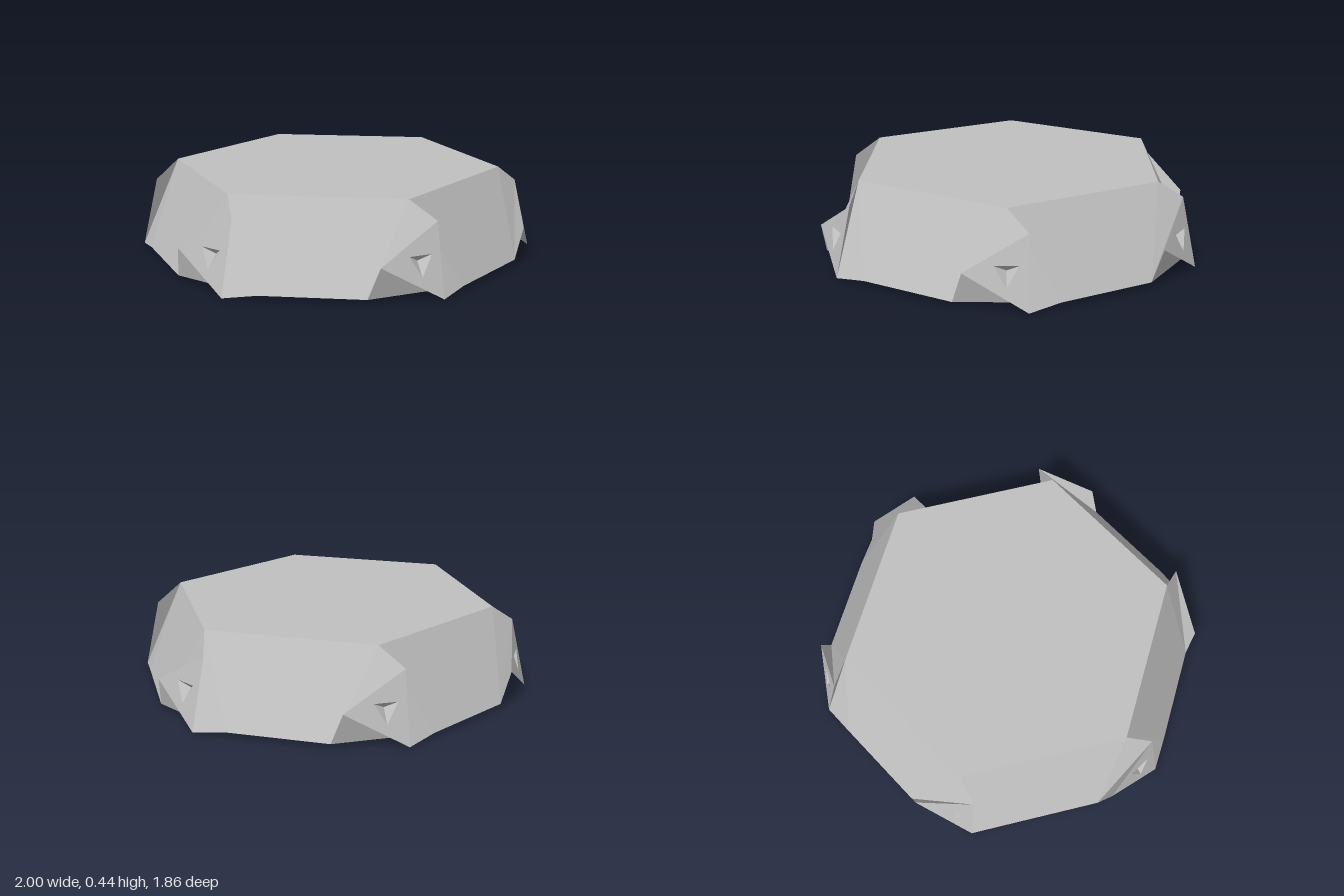
import * as THREE from 'three';
import { ConvexGeometry } from 'three/addons/geometries/ConvexGeometry.js';

const stone = new THREE.MeshStandardMaterial({ color: 0xc0c0c0, flatShading: true });
stone.name = 'grey';

// Twisted stud for the corner facing +x: a tapered triangle turned by 30 degrees
function createStudGeometry() {
  // three points around the stud axis, on a plane leaning like the slab's sides
  const ring = (startDeg, radius, base) => [0, 1, 2].map((k) => {
    const a = THREE.MathUtils.degToRad(startDeg + k * 120);
    const y = 0.173 + radius * Math.sin(a);
    return [base - 0.23 * y, y, -radius * Math.cos(a)];
  });
  const root = [[0.83, 0.435, 0], [0.92, 0.02, 0.245], [0.92, 0.02, -0.245]];
  const face = ring(60, 0.2, 1);
  const dent = ring(30, 0.065, 1);
  const pit = [0.92, 0.173, 0];

  const points = [];
  const tri = (...corners) => corners.forEach((c) => points.push(...c));
  for (let k = 0; k < 3; k++) {
    const n = (k + 1) % 3;
    // twisted sides
    tri(root[k], root[n], face[k]);
    tri(root[n], face[n], face[k]);
    // outer face around the dent
    tri(face[k], face[n], dent[n]);
    tri(face[k], dent[n], dent[k]);
    // three-sided dent
    tri(dent[k], dent[n], pit);
  }
  const geometry = new THREE.BufferGeometry();
  geometry.setAttribute('position', new THREE.Float32BufferAttribute(points, 3));
  geometry.computeVertexNormals();
  return geometry;
}

export function createModel() {
  const model = new THREE.Group();
  model.name = 'hexagonalSlab';

  // Slab: hexagonal top, bottom corners cut to form twelve sides
  const up = new THREE.Vector3(0, 1, 0);
  const corners = [];
  for (let i = 0; i < 6; i++) {
    for (const p of [[0.83, 0.435, 0], [0.92, 0.02, 0.245], [0.92, 0.02, -0.245]]) {
      corners.push(new THREE.Vector3(...p).applyAxisAngle(up, (i * Math.PI) / 3));
    }
  }
  const slab = new THREE.Mesh(new ConvexGeometry(corners), stone);
  slab.name = 'slab';
  model.add(slab);

  // One stud on each cut corner
  const studGeometry = createStudGeometry();
  for (let i = 0; i < 6; i++) {
    const stud = new THREE.Mesh(studGeometry, stone);
    stud.name = `cornerStud${i + 1}`;
    stud.rotation.y = (i * Math.PI) / 3;
    model.add(stud);
  }
  return model;
}
